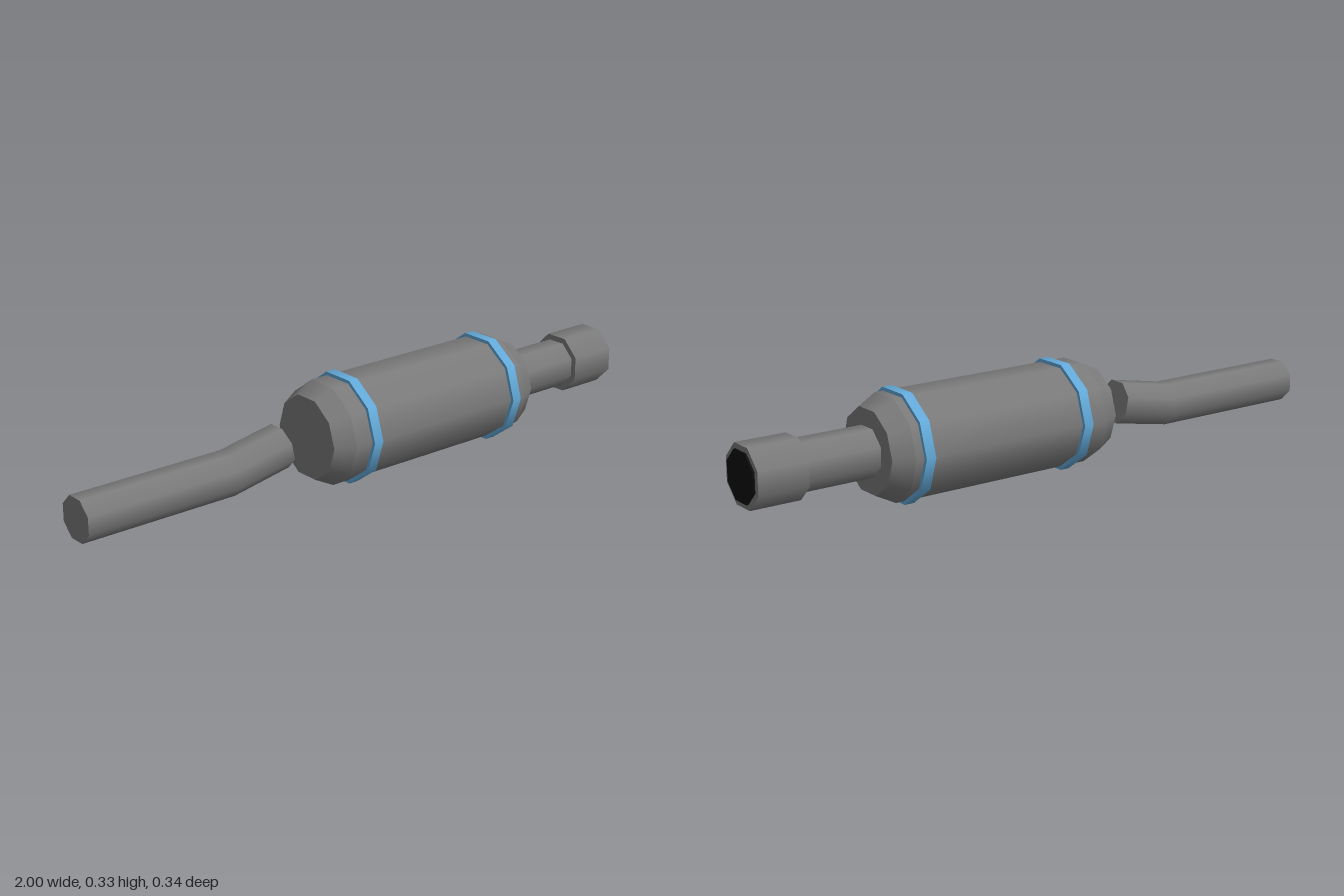
import * as THREE from 'three';

const AXIS_Y = 0.1635;

export function createModel() {
  const model = new THREE.Group();
  const steel = new THREE.MeshStandardMaterial({ color: 0x7a7a7a });
  steel.name = 'grey steel';
  const blue = new THREE.MeshStandardMaterial({ color: 0x62a9d8 });
  blue.name = 'blue band';
  const black = new THREE.MeshStandardMaterial({ color: 0x0d0d0d });
  black.name = 'black bore';

  // A prism or frustum lying along x; even-eighths are turned so a flat faces up
  const along = (x0, x1, r0, r1, sides, open = false) => {
    const start = sides === 8 ? Math.PI / 8 : 0;
    return new THREE.CylinderGeometry(r1, r0, x1 - x0, sides, 1, open, start)
      .rotateZ(-Math.PI / 2)
      .translate((x0 + x1) / 2, 0, 0);
  };
  const add = (name, geometry, material, parent = model, y = AXIS_Y) => {
    const mesh = new THREE.Mesh(geometry, material);
    mesh.name = name;
    mesh.position.y = y;
    parent.add(mesh);
    return mesh;
  };

  // Canister: straight shell with a tapered shoulder and flat cap at each end
  const canister = new THREE.Group();
  canister.name = 'canister';
  model.add(canister);
  add('shell', along(-0.145, 0.535, 0.161, 0.161, 10, true), steel, canister);
  add('rearShoulder', along(-0.205, -0.145, 0.13, 0.161, 10), steel, canister);
  add('frontShoulder', along(0.535, 0.595, 0.161, 0.13, 10), steel, canister);

  // Clamping bands
  for (const [name, x] of [['rearBand', -0.07], ['frontBand', 0.492]]) {
    add(name, along(x - 0.016, x + 0.016, 0.172, 0.172, 10), blue);
  }

  // Outlet pipe, wider tip and dark opening
  add('outletPipe', along(0.59, 0.84, 0.077, 0.077, 8), steel);
  add('outletTip', along(0.835, 0.994, 0.096, 0.096, 8), steel);
  add('outletOpening', along(0.992, 1, 0.079, 0.079, 8), black);

  // Inlet pipe: two lengths mitred together at a shallow upward bend
  const bend = THREE.MathUtils.degToRad(10.5);
  const bendX = -0.495;
  const pipeY = 0.127;
  const miter = (geometry, atX, slope) => {
    const p = geometry.attributes.position;
    for (let i = 0; i < p.count; i++) {
      if (Math.abs(p.getX(i) - atX) < 1e-4) p.setX(i, atX + slope * p.getY(i));
    }
    return geometry;
  };
  const inlet = new THREE.Group();
  inlet.name = 'inletPipe';
  model.add(inlet);
  const slope = Math.tan(bend / 2);
  add('inletStraight', miter(along(-1, bendX, 0.069, 0.069, 8), bendX, -slope), steel, inlet, pipeY);
  const rising = add('inletRise', miter(along(0, 0.195, 0.069, 0.069, 8), 0, slope), steel, inlet, pipeY);
  rising.position.x = bendX;
  rising.rotation.z = bend;

  model.position.y = 0;
  return model;
}
